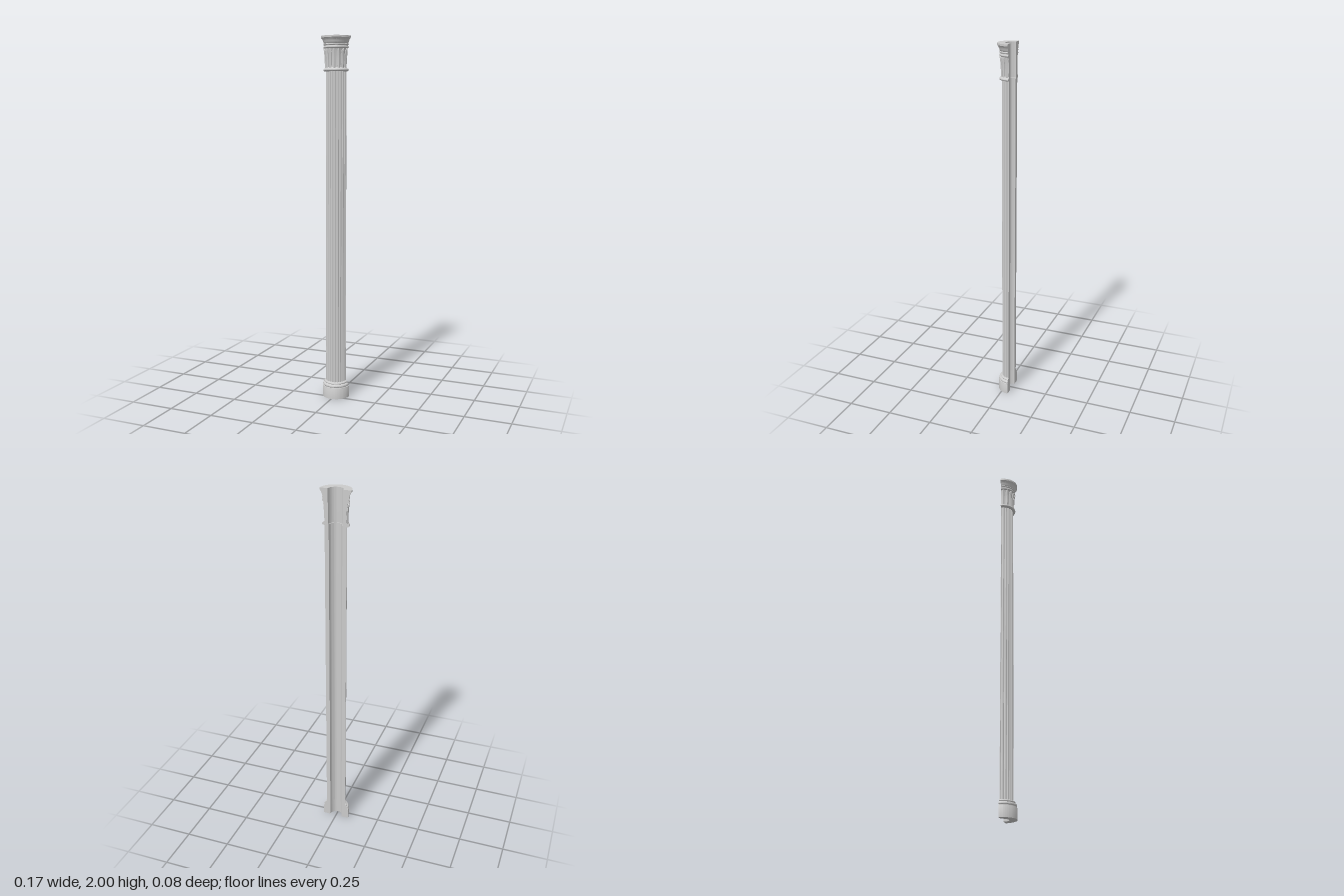
import * as THREE from 'three';
import { toCreasedNormals, mergeGeometries } from 'three/addons/utils/BufferGeometryUtils.js';

const material = new THREE.MeshStandardMaterial({ color: 0xcccccc });
const AXIS_Z = -0.042; // flat back plane and axis of the half column

// Half-round bead bulging outwards between two heights
function bead(r, y0, y1, bulge) {
  const pts = [];
  for (let i = 0; i <= 8; i++) {
    const t = (i / 8) * Math.PI;
    pts.push([r + bulge * Math.sin(t), (y0 + y1) / 2 - ((y1 - y0) / 2) * Math.cos(t)]);
  }
  return pts;
}

// Solid half revolution: outer profile going up, straight bore, closed flat back
function halfRing(name, outer, bore) {
  const y0 = outer[0][1], y1 = outer[outer.length - 1][1];
  const loop = [...outer, [bore, y1], [bore, y0]].map(([x, y]) => new THREE.Vector2(x, y));
  const parts = [new THREE.LatheGeometry([...loop, loop[0].clone()], 48, -Math.PI / 2, Math.PI)];
  for (const side of [1, -1]) {
    const shape = new THREE.Shape(loop.map(p => new THREE.Vector2(p.x * side, p.y)));
    parts.push(new THREE.ShapeGeometry(shape).rotateY(Math.PI));
  }
  const geo = mergeGeometries(parts.map(g => g.toNonIndexed()));
  const mesh = new THREE.Mesh(toCreasedNormals(geo, 0.6), material);
  mesh.name = name;
  return mesh;
}

// Fluted half ring extruded upwards
function makeShaft(y0, y1) {
  const R = 0.058, BORE = 0.036, FLUTES = 12, STEP = Math.PI / FLUTES;
  const shape = new THREE.Shape();
  const put = (r, a, first) =>
    shape[first ? 'moveTo' : 'lineTo'](r * Math.sin(a), -r * Math.cos(a));
  put(R, -Math.PI / 2, true);
  for (let i = 0; i < FLUTES; i++) {
    const mid = -Math.PI / 2 + (i + 0.5) * STEP;
    for (let k = 0; k <= 8; k++) {
      const u = k / 4 - 1;
      put(R - 0.0048 * Math.sqrt(1 - u * u), mid + u * STEP * 0.38);
    }
  }
  put(R, Math.PI / 2);
  for (let k = 0; k <= 32; k++) put(BORE, Math.PI / 2 - (k / 32) * Math.PI);
  const geo = new THREE.ExtrudeGeometry(shape, { depth: y1 - y0, bevelEnabled: false });
  geo.rotateX(-Math.PI / 2).translate(0, y0, 0);
  const mesh = new THREE.Mesh(toCreasedNormals(geo, 0.6), material);
  mesh.name = 'flutedShaft';
  return mesh;
}

// Tongue leaf hugging the bell, ribbed in the middle and curling out at the tip
function makeLeaf(angle, y0, height, width) {
  const geo = new THREE.BoxGeometry(1, 1, 1, 8, 14, 1);
  const p = geo.attributes.position;
  for (let i = 0; i < p.count; i++) {
    const u = p.getX(i) * 2, v = p.getY(i) + 0.5, front = p.getZ(i) > 0;
    const tip = Math.max(0, (v - 0.7) / 0.3);
    const w = width * (0.72 + 0.28 * v) * Math.sqrt(Math.max(0.03, 1 - tip * tip));
    const a = angle + (u * w) / 2;
    const body = 0.0575 + 0.003 * v + 0.005 * v ** 4;
    const r = body + (front ? 0.0045 - 0.002 * u * u + 0.0015 * Math.exp(-u * u * 20) : -0.002);
    p.setXYZ(i, r * Math.sin(a), y0 + v * height, r * Math.cos(a));
  }
  const mesh = new THREE.Mesh(toCreasedNormals(geo, 0.7), material);
  mesh.name = 'capitalLeaf';
  return mesh;
}

export function createModel() {
  const column = new THREE.Group();
  column.name = 'halfColumn';

  // Plinth drum with stepped mouldings
  column.add(halfRing('base', [
    [0.077, 0], [0.077, 0.058], [0.075, 0.062], [0.071, 0.063],
    ...bead(0.071, 0.065, 0.078, 0.004),
    [0.066, 0.079], ...bead(0.063, 0.081, 0.09, 0.004), [0.058, 0.092],
  ], 0.0365));

  column.add(makeShaft(0.09, 1.82));

  // Capital: neck ring, bell, double ring and flared abacus
  column.add(halfRing('capital', [
    [0.06, 1.814], ...bead(0.065, 1.815, 1.829, 0.006),
    [0.062, 1.831], [0.058, 1.836], [0.0575, 1.86], [0.058, 1.89], [0.061, 1.92], [0.064, 1.934],
    ...bead(0.066, 1.935, 1.947, 0.005),
    [0.066, 1.95], ...bead(0.067, 1.952, 1.96, 0.004),
    [0.069, 1.962], [0.071, 1.97], [0.075, 1.98], [0.08, 1.988],
    [0.083, 1.99], [0.083, 2],
  ], 0.04));

  // Row of leaves around the bell
  const leaves = new THREE.Group();
  leaves.name = 'capitalLeaves';
  const COUNT = 8, step = Math.PI / COUNT;
  for (let i = 0; i < COUNT; i++) {
    leaves.add(makeLeaf(-Math.PI / 2 + (i + 0.5) * step, 1.83, 0.104, step * 0.9));
  }
  column.add(leaves);

  column.position.z = AXIS_Z;
  const model = new THREE.Group();
  model.name = 'column';
  model.add(column);
  return model;
}
